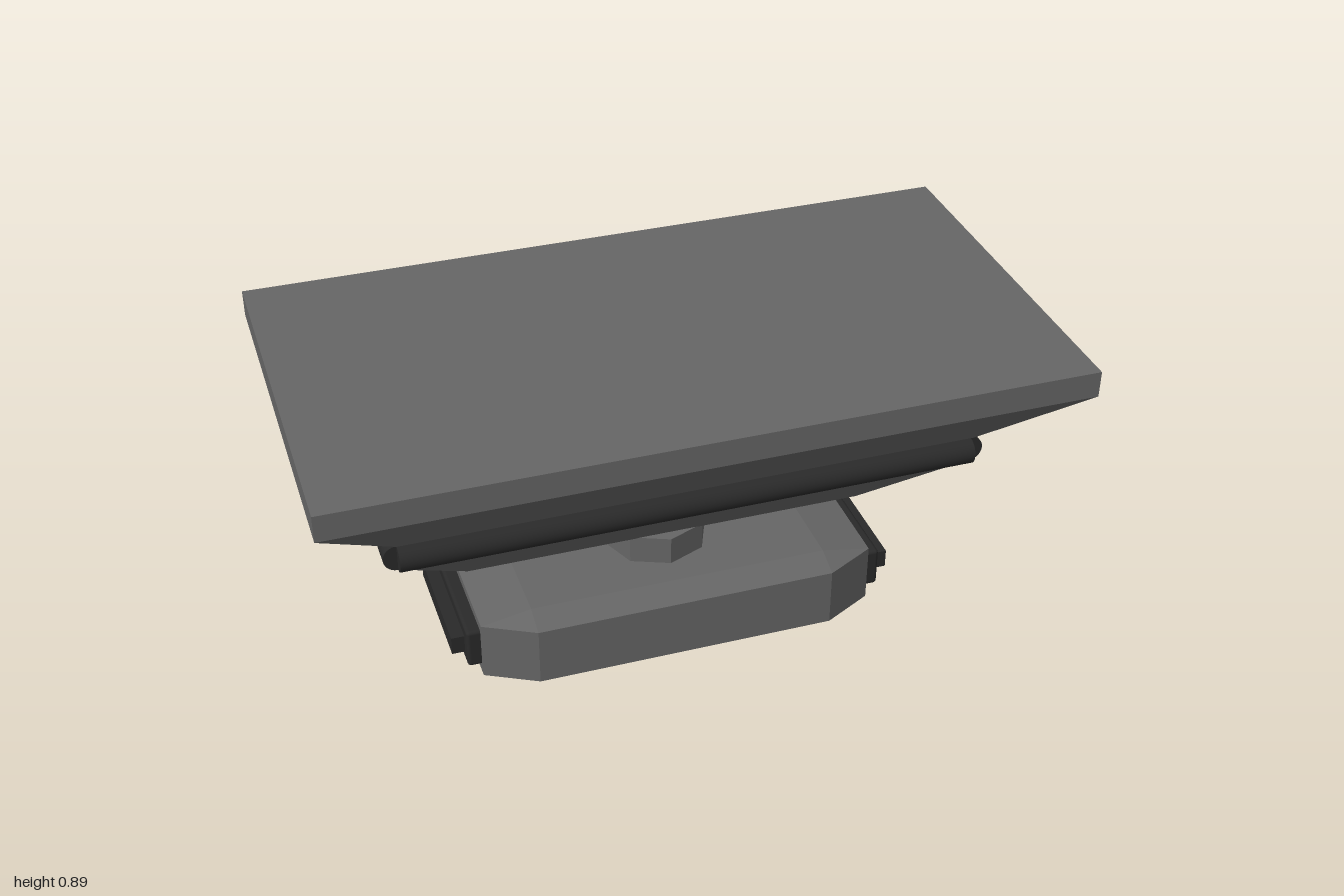
import * as THREE from 'three';
import { RoundedBoxGeometry } from 'three/addons/geometries/RoundedBoxGeometry.js';
import { ConvexGeometry } from 'three/addons/geometries/ConvexGeometry.js';

const grey = new THREE.MeshStandardMaterial({ color: 0x666666 });
const dark = new THREE.MeshStandardMaterial({ color: 0x2a2a2a });

// Centre line of everything below the hopper top
const CX = -0.004, CZ = -0.019;

function add(parent, name, geometry, material, x, y, z) {
  const mesh = new THREE.Mesh(geometry, material);
  mesh.name = name;
  mesh.position.set(x, y, z);
  parent.add(mesh);
  return mesh;
}

// The four mirrored corners of a rectangle at height y
function corners(hx, y, hz) {
  return [[1, 1], [1, -1], [-1, -1], [-1, 1]].map(([sx, sz]) => new THREE.Vector3(sx * hx, y, sz * hz));
}

// Rectangular tapered block from the lower to the upper rectangle
function frustum(x0, y0, z0, x1, y1, z1) {
  return new ConvexGeometry([...corners(x0, y0, z0), ...corners(x1, y1, z1)]);
}

export function createModel() {
  const model = new THREE.Group();
  model.name = 'hopperOnBase';

  // Top slab and the two tapered hopper stages
  add(model, 'topSlab', new THREE.BoxGeometry(2, 0.073, 1.076), grey, 0, 0.8535, 0);
  add(model, 'upperHopper', frustum(0.78, 0.595, 0.317, 1, 0.817, 0.538), grey, 0, 0, 0);
  add(model, 'hopperBand', new THREE.BoxGeometry(1.55, 0.075, 0.64), grey, CX, 0.5585, -0.01);
  add(model, 'lowerHopper', frustum(0.558, 0.299, 0.109, 0.778, 0.522, 0.333), grey, CX, 0, CZ);

  // Round rails running around the waist
  const rails = new THREE.Group();
  rails.name = 'waistRails';
  rails.position.set(CX, 0.558, CZ);
  model.add(rails);
  const rx = 0.776, rz = 0.333, r = 0.037;
  for (const s of [1, -1]) {
    add(rails, s > 0 ? 'frontRail' : 'backRail',
      new THREE.CylinderGeometry(r, r, rx * 2, 24).rotateZ(Math.PI / 2), dark, 0, 0, s * rz);
    add(rails, s > 0 ? 'leftRail' : 'rightRail',
      new THREE.CylinderGeometry(r, r, rz * 2, 24).rotateX(Math.PI / 2), dark, s * rx, 0, 0);
  }

  // Octagonal neck
  const neck = new THREE.CylinderGeometry(0.147, 0.147, 0.09, 8).toNonIndexed();
  neck.computeVertexNormals();
  add(model, 'neck', neck, grey, CX, 0.258, CZ);

  // Base block with chamfered corners and edges
  const points = [...corners(0.417, 0, 0.222), ...corners(0.417, 0.222, 0.222)];
  for (const y of [0.028, 0.196]) {
    points.push(...corners(0.556, y, 0.222), ...corners(0.417, y, 0.2945));
  }
  add(model, 'base', new ConvexGeometry(points), grey, CX, 0, CZ);

  // Stepped end caps
  for (const s of [1, -1]) {
    const side = s > 0 ? 'left' : 'right';
    add(model, side + 'EndCap', new RoundedBoxGeometry(0.08, 0.116, 0.421, 2, 0.01), dark,
      CX + s * 0.554, 0.114, CZ);
    add(model, side + 'EndPlate', new THREE.BoxGeometry(0.08, 0.053, 0.36), dark,
      CX + s * 0.59, 0.114, CZ);
  }
  return model;
}
